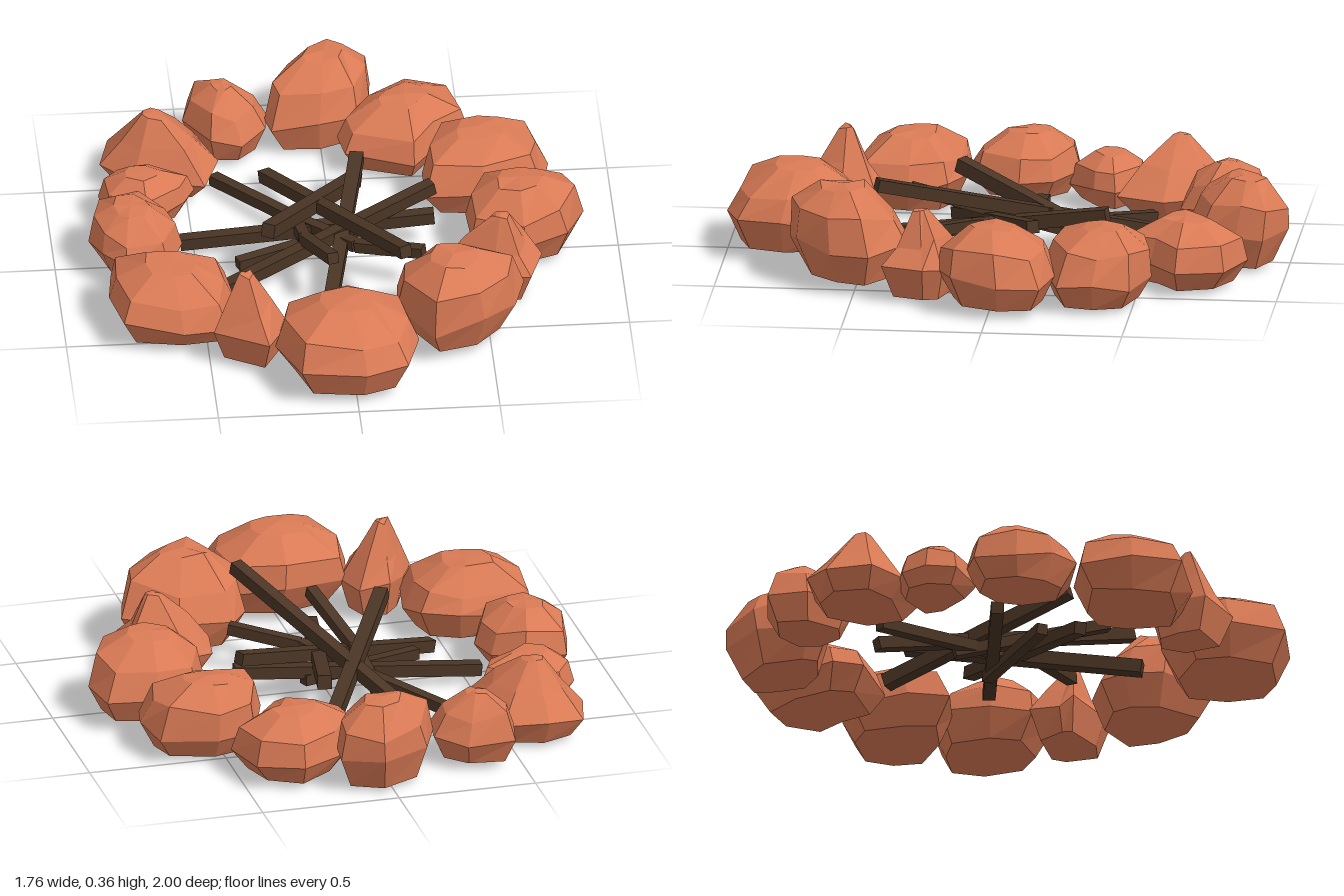
import * as THREE from 'three';

const stoneMat = new THREE.MeshStandardMaterial({ color: 0xd97a55, flatShading: true });
const woodMat = new THREE.MeshStandardMaterial({ color: 0x4a3525, flatShading: true });

// Ring profiles from base to crown: [height fraction, outline scale]
const BOULDER = [[0, 0.75], [0.36, 1], [0.71, 0.86], [1, 0.38]];
const DOMED = [[0, 0.74], [0.36, 1], [0.7, 0.74], [1, 0.24]];
const PEAKED = [[0, 0.74], [0.32, 1], [0.64, 0.62], [1, 0.18]];

let seed = 7;
const jitter = (amount) => {
  seed = (seed * 16807) % 2147483647;
  return (seed / 2147483647 - 0.5) * 2 * amount;
};

// Lofts a faceted stone from a plan outline, leaning towards its crown position
function stone(name, profile, base, top, crown, outline) {
  const n = outline.length;
  const cx = outline.reduce((s, p) => s + p[0], 0) / n;
  const cz = outline.reduce((s, p) => s + p[1], 0) / n;
  const rings = profile.map(([f, scale], r) => {
    const inner = r > 0 && r < profile.length - 1;
    const lean = Math.max(0, (f - 0.36) / 0.64);
    return outline.map(([x, z]) => {
      const s = scale * (r === 1 ? 1 : 1 + jitter(0.04));
      return new THREE.Vector3(
        cx + (crown[0] - cx) * lean + (x - cx) * s,
        base + (top - base) * (f + (inner ? jitter(0.08) : r ? -Math.abs(jitter(0.05)) : 0)),
        cz + (crown[1] - cz) * lean + (z - cz) * s);
    });
  });
  const tris = [];
  const low = new THREE.Vector3(cx, base, cz);
  const high = new THREE.Vector3(crown[0], top, crown[1]);
  for (let i = 0; i < n; i++) {
    const j = (i + 1) % n;
    for (let r = 0; r < rings.length - 1; r++) {
      const a = rings[r][i], b = rings[r][j], c = rings[r + 1][j], d = rings[r + 1][i];
      tris.push(a, d, b, b, d, c);
    }
    tris.push(low, rings[0][i], rings[0][j]);
    tris.push(high, rings.at(-1)[j], rings.at(-1)[i]);
  }
  const geo = new THREE.BufferGeometry().setFromPoints(tris);
  geo.computeVertexNormals();
  const mesh = new THREE.Mesh(geo, stoneMat);
  mesh.name = name;
  return mesh;
}

// Square stick running straight or bent through the given points
function stick(width, ...points) {
  const group = new THREE.Group();
  group.name = 'stick';
  const path = points.map((p) => new THREE.Vector3(...p));
  for (let i = 0; i < path.length - 1; i++) {
    const length = path[i].distanceTo(path[i + 1]);
    const mesh = new THREE.Mesh(new THREE.BoxGeometry(width, width, length), woodMat);
    mesh.name = 'stickSegment';
    mesh.position.copy(path[i]).lerp(path[i + 1], 0.5);
    mesh.lookAt(path[i + 1]);
    group.add(mesh);
  }
  return group;
}

export function createModel() {
  const model = new THREE.Group();
  model.name = 'firePit';

  // Ring of stones, clockwise from the back
  const ring = new THREE.Group();
  ring.name = 'stoneRing';
  ring.add(
    stone('backStone', BOULDER, 0.02, 0.33, [0.02, -0.84],
      [[0.05, -1], [0.19, -0.92], [0.18, -0.82], [0.13, -0.69], [-0.01, -0.64], [-0.18, -0.65], [-0.2, -0.72], [-0.13, -0.9]]),
    stone('backLeftStone', BOULDER, 0.02, 0.25, [0.29, -0.66],
      [[0.31, -0.88], [0.47, -0.81], [0.52, -0.64], [0.4, -0.54], [0.31, -0.42], [0.07, -0.51], [0.05, -0.62], [0.15, -0.78]]),
    stone('leftRearStone', BOULDER, 0.02, 0.28, [0.54, -0.39],
      [[0.54, -0.56], [0.74, -0.5], [0.78, -0.37], [0.75, -0.24], [0.54, -0.17], [0.33, -0.19], [0.33, -0.34], [0.4, -0.53]]),
    stone('leftStone', BOULDER, 0.035, 0.305, [0.65, -0.01],
      [[0.53, -0.21], [0.68, -0.23], [0.85, -0.19], [0.88, -0.04], [0.81, 0.13], [0.66, 0.19], [0.47, 0.11], [0.46, -0.04]]),
    stone('leftPeakedStone', PEAKED, 0.02, 0.33, [0.56, 0.26],
      [[0.47, 0.1], [0.68, 0.17], [0.71, 0.24], [0.66, 0.39], [0.52, 0.37], [0.36, 0.25], [0.36, 0.2]]),
    stone('frontLeftStone', BOULDER, 0.04, 0.36, [0.37, 0.55],
      [[0.24, 0.34], [0.45, 0.32], [0.63, 0.44], [0.59, 0.58], [0.47, 0.71], [0.29, 0.75], [0.17, 0.56], [0.18, 0.42]]),
    stone('frontStone', BOULDER, 0.04, 0.325, [-0.02, 0.75],
      [[0, 0.54], [0.2, 0.61], [0.23, 0.79], [0.18, 0.95], [0.03, 1], [-0.2, 0.97], [-0.28, 0.77], [-0.24, 0.61]]),
    stone('frontPeakedStone', PEAKED, 0.03, 0.36, [-0.37, 0.61],
      [[-0.37, 0.49], [-0.26, 0.5], [-0.22, 0.62], [-0.3, 0.78], [-0.49, 0.67], [-0.44, 0.57]]),
    stone('frontRightStone', BOULDER, 0.03, 0.275, [-0.62, 0.4],
      [[-0.82, 0.21], [-0.55, 0.2], [-0.42, 0.26], [-0.39, 0.4], [-0.43, 0.59], [-0.59, 0.62], [-0.8, 0.57], [-0.84, 0.39]]),
    stone('rightStone', BOULDER, 0.04, 0.265, [-0.73, 0],
      [[-0.84, -0.17], [-0.68, -0.19], [-0.58, -0.1], [-0.55, 0.02], [-0.61, 0.18], [-0.76, 0.2], [-0.84, 0.11], [-0.88, -0.02]]),
    stone('rightSmallStone', BOULDER, 0.03, 0.205, [-0.67, -0.3],
      [[-0.63, -0.43], [-0.48, -0.33], [-0.52, -0.25], [-0.66, -0.15], [-0.81, -0.23], [-0.82, -0.34], [-0.76, -0.42]]),
    stone('backRightPeakedStone', PEAKED, 0.02, 0.29, [-0.61, -0.55],
      [[-0.62, -0.75], [-0.46, -0.71], [-0.38, -0.51], [-0.44, -0.34], [-0.69, -0.41], [-0.8, -0.53], [-0.76, -0.69]]),
    stone('backRightStone', DOMED, 0.03, 0.275, [-0.35, -0.74],
      [[-0.46, -0.88], [-0.29, -0.87], [-0.19, -0.77], [-0.2, -0.66], [-0.29, -0.58], [-0.4, -0.59], [-0.49, -0.74]]));
  model.add(ring);

  // Criss-crossed kindling
  const kindling = new THREE.Group();
  kindling.name = 'kindling';
  kindling.add(
    stick(0.045, [0.35, 0.13, -0.05], [-0.55, 0.05, -0.07]),
    stick(0.045, [-0.45, 0.025, 0.23], [0.35, 0.21, -0.12]),
    stick(0.04, [-0.36, 0.06, 0.1], [0.1, 0.08, -0.07]),
    stick(0.04, [-0.4, 0.045, -0.48], [-0.12, 0.09, -0.11], [0.06, 0.13, 0.12], [0.29, 0.17, 0.24]),
    stick(0.045, [0.21, 0.31, 0.45], [-0.22, 0.05, -0.48]),
    stick(0.05, [0.1, 0.05, -0.43], [-0.26, 0.26, 0.2]),
    stick(0.05, [-0.07, 0.05, 0.47], [0.1, 0.19, -0.36]),
    stick(0.04, [-0.14, 0.06, -0.2], [-0.12, 0.13, 0.06], [-0.04, 0.23, 0.35]));
  model.add(kindling);
  return model;
}
